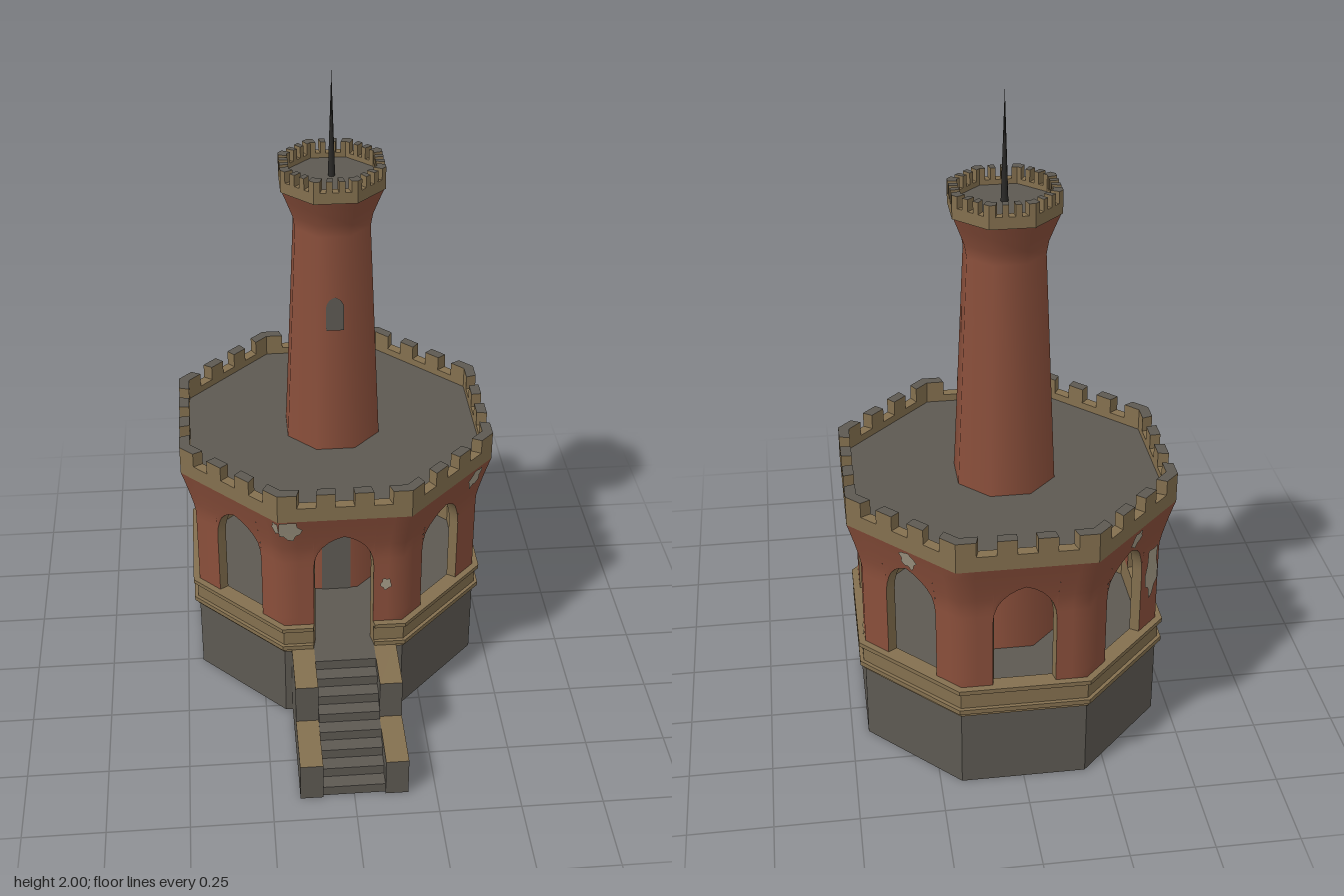
import * as THREE from 'three';
import { mergeGeometries, mergeVertices } from 'three/addons/utils/BufferGeometryUtils.js';

const material = (name, color) => {
  const m = new THREE.MeshStandardMaterial({ color });
  m.name = name;
  return m;
};

const T8 = Math.tan(Math.PI / 8);
const R8 = 1 / Math.cos(Math.PI / 8);
const WALL = 0.03;

// Point on face i of an octagon with apothem a; f runs -1..1 along that face.
function onFace(i, f, y, a) {
  const t = i * Math.PI / 4, s = f * a * T8;
  return new THREE.Vector3(a * Math.sin(t) + s * Math.cos(t), y, a * Math.cos(t) - s * Math.sin(t));
}

// Grid surface from a rule (u, v) -> Vector3.
function patch(rule, nu, nv) {
  const g = new THREE.PlaneGeometry(1, 1, nu, nv), p = g.attributes.position;
  for (let k = 0; k < p.count; k++) {
    const q = rule(p.getX(k) + 0.5, p.getY(k) + 0.5);
    p.setXYZ(k, q.x, q.y, q.z);
  }
  g.computeVertexNormals();
  return g;
}

// Upright extrusion of a plan outline.
const plan = (points) => points.map((p) => new THREE.Vector2(p.x, -p.z));
function upright(shape, y0, y1) {
  return new THREE.ExtrudeGeometry(shape, { depth: y1 - y0, bevelEnabled: false })
    .rotateX(-Math.PI / 2).translate(0, y0, 0);
}
const octPoints = (a) => plan([0, 1, 2, 3, 4, 5, 6, 7].map((i) => onFace(i, 1, 0, a)));
function octagon(a, y0, y1, inner) {
  const shape = new THREE.Shape(octPoints(a));
  if (inner) shape.holes.push(new THREE.Path(octPoints(inner)));
  return upright(shape, y0, y1);
}
// Mitred block along part of one face.
function block(i, f0, f1, out, inn, y0, y1) {
  const pts = [onFace(i, f0, 0, out), onFace(i, f1, 0, out), onFace(i, f1, 0, inn), onFace(i, f0, 0, inn)];
  return upright(new THREE.Shape(plan(pts)), y0, y1);
}

// Profiles: flaring wall, pointed opening, tapering tower.
const wallA = (y) => 0.447 + 0.04 * Math.pow(Math.max(0, (y - 0.62) / 0.16), 1.2);
const towerA = (y) => 0.145 - (y - 0.8) * 0.044;
function archY(f, spring = 0.57, w = 0.0926, h = 0.13) {
  const r = (w * w + h * h) / (2 * w), x = Math.abs(f) * 2 * w;
  return spring + Math.sqrt(Math.max(0, r * r - (x + r - w) ** 2));
}

// Flat arched plate lying on the front of the tower.
function archPlate(w, y0, spring, h) {
  const pts = [new THREE.Vector2(-w, y0), new THREE.Vector2(w, y0)];
  for (let k = 0; k <= 12; k++) {
    const f = 0.5 * Math.cos(Math.PI * k / 12);
    pts.push(new THREE.Vector2(f * 2 * w, archY(f, spring, w, h)));
  }
  const g = new THREE.ShapeGeometry(new THREE.Shape(pts)), p = g.attributes.position;
  for (let k = 0; k < p.count; k++) p.setZ(k, towerA(p.getY(k)) + 0.004);
  g.computeVertexNormals();
  return g;
}

export function createModel() {
  const brick = material('brick', 0x8a4f3b);
  const stone = material('grey stone', 0x5d5952);
  const sand = material('sandstone', 0x84704f);
  const plaster = material('bare plaster', 0xa59c88);
  const iron = material('dark iron', 0x2b2a28);

  const root = new THREE.Group();
  const hall = new THREE.Group();
  hall.name = 'octagonalHall';
  hall.position.z = -0.18;
  root.add(hall);
  const add = (name, geometry, mat, parent = hall) => {
    const m = new THREE.Mesh(geometry, mat);
    m.name = name;
    parent.add(m);
    return m;
  };

  // Plinth and roof
  add('plinth', octagon(0.45, 0, 0.265), stone);
  add('roof', octagon(0.46, 0.78, 0.805), stone);

  // Sandstone parapet band, open at the entrance
  const band = [];
  for (let i = 0; i < 8; i++) {
    const spans = i === 0 ? [[-1, -0.5], [0.5, 1]] : [[-1, 1]];
    for (const [a, b] of spans) {
      band.push(block(i, a, b, 0.455, 0.417, 0.25, 0.345));
      band.push(block(i, a, b, 0.466, 0.45, 0.265, 0.28));
      band.push(block(i, a, b, 0.467, 0.417, 0.336, 0.35));
    }
  }
  add('parapetBand', mergeGeometries(band), sand);

  // Arcade walls with pointed openings
  const outer = [], inner = [], jambs = [];
  const curveF = (u) => -0.5 * Math.cos(Math.PI * u);
  for (let i = 0; i < 8; i++) {
    const pier = (f0, f1, d) => (u, v) => {
      const y = 0.35 + 0.43 * v;
      return onFace(i, f0 + (f1 - f0) * u, y, wallA(y) - d);
    };
    const overArch = (d, flip) => (u, v) => {
      const f = curveF(flip ? 1 - u : u), y = archY(f) + (0.78 - archY(f)) * v;
      return onFace(i, f, y, wallA(y) - d);
    };
    outer.push(patch(pier(-1, -0.5, 0), 2, 14), patch(pier(0.5, 1, 0), 2, 14), patch(overArch(0), 12, 6));
    inner.push(patch(pier(-0.5, -1, WALL), 1, 14), patch(pier(1, 0.5, WALL), 1, 14), patch(overArch(WALL, true), 12, 6));
    jambs.push(patch((u, v) => {
      const k = Math.round(u * 14);
      const f = curveF(Math.min(Math.max((k - 1) / 12, 0), 1));
      const y = k === 0 || k === 14 ? 0.35 : archY(f);
      return onFace(i, f, y, wallA(y) - WALL * (1 - v));
    }, 14, 1));
  }
  const skin = mergeGeometries(outer);
  skin.deleteAttribute('normal');
  skin.deleteAttribute('uv');
  const smoothSkin = mergeVertices(skin, 1e-4);
  smoothSkin.computeVertexNormals();
  add('arcadeWall', smoothSkin, brick);
  add('arcadeInside', mergeGeometries(inner), brick);
  add('openingLining', mergeGeometries(jambs), sand);

  // Patches of bare plaster: face, f, y, half width in f, half height
  const patches = [
    [0, -0.84, 0.745, 0.2, 0.05], [0, 0.7, 0.5, 0.1, 0.025], [1, 0.62, 0.745, 0.16, 0.045],
    [2, -0.67, 0.57, 0.15, 0.095], [2, 0.86, 0.37, 0.12, 0.025], [3, 0.12, 0.748, 0.16, 0.038],
    [5, 0, 0.748, 0.14, 0.036], [5, 0.75, 0.55, 0.2, 0.1], [7, 0.95, 0.755, 0.08, 0.03],
  ];
  patches.forEach(([i, f, y, w, h], n) => {
    const g = new THREE.CircleGeometry(1, 14), p = g.attributes.position;
    for (let k = 0; k < p.count; k++) {
      const j = 0.88 + 0.18 * Math.sin((k % 14) * 2.3 + n);
      const ff = Math.min(1, Math.max(-1, f + w * j * p.getX(k)));
      const yy = Math.min(0.78, Math.max(0.35, y + h * j * p.getY(k)));
      const q = onFace(i, ff, yy, wallA(yy) + 0.005);
      p.setXYZ(k, q.x, q.y, q.z);
    }
    g.computeVertexNormals();
    add('plasterPatch', g, plaster);
  });

  // Battlements: ring plus seven-part rhythm of merlons on every face
  const battlement = (name, a, inn, y0, y1, y2) => {
    const group = new THREE.Group();
    group.name = name;
    hall.add(group);
    add('crownRing', octagon(a, y0, y1, inn), [sand, sand], group);
    for (let i = 0; i < 8; i++) {
      for (let k = 0; k < 7; k += 2) {
        add('merlon', block(i, -1 + k * 2 / 7, -1 + (k + 1) * 2 / 7, a, inn, y1, y2), [stone, sand], group);
      }
    }
  };
  battlement('hallBattlement', 0.487, 0.455, 0.78, 0.828, 0.875);
  battlement('towerBattlement', 0.154, 0.128, 1.655, 1.69, 1.725);

  // Tower, running down through the hall as its core
  const profile = [[towerA(0.265), 0.265], [towerA(0.8), 0.8], [towerA(1.53), 1.53], [0.119, 1.57], [0.137, 1.62], [0.152, 1.66]]
    .map(([a, y]) => new THREE.Vector2(a * R8, y));
  add('tower', new THREE.LatheGeometry(profile, 8, Math.PI / 8), brick);
  add('towerRoof', octagon(0.13, 1.655, 1.675), stone);
  add('door', archPlate(0.047, 0.265, 0.5, 0.09), stone);
  add('towerWindow', archPlate(0.027, 1.225, 1.3, 0.035), stone);

  // Spire
  add('spire', new THREE.ConeGeometry(0.011, 0.33, 8).translate(0, 1.835, 0), iron);

  // Stairs between stepped side walls
  const stairs = new THREE.Group();
  stairs.name = 'entranceStairs';
  root.add(stairs);
  const box = (name, x0, x1, y0, y1, z0, z1, mat) => add(name,
    new THREE.BoxGeometry(x1 - x0, y1 - y0, z1 - z0).translate((x0 + x1) / 2, (y0 + y1) / 2, (z0 + z1) / 2), mat, stairs);
  const capped = [stone, stone, sand, stone, stone, stone];
  for (const x of [-0.165, 0.095]) {
    box('upperSideWall', x, x + 0.07, 0, 0.265, 0.265, 0.465, capped);
    box('lowerSideWall', x, x + 0.07, 0, 0.13, 0.465, 0.663, capped);
  }
  for (let k = 0; k < 8; k++) {
    const top = 0.265 * (k + 1) / 8, z1 = 0.655 - k * 0.044;
    box('step', -0.095, 0.095, Math.max(0, top - 0.06), top, k === 7 ? 0.265 : z1 - 0.05, z1, stone);
  }
  return root;
}
